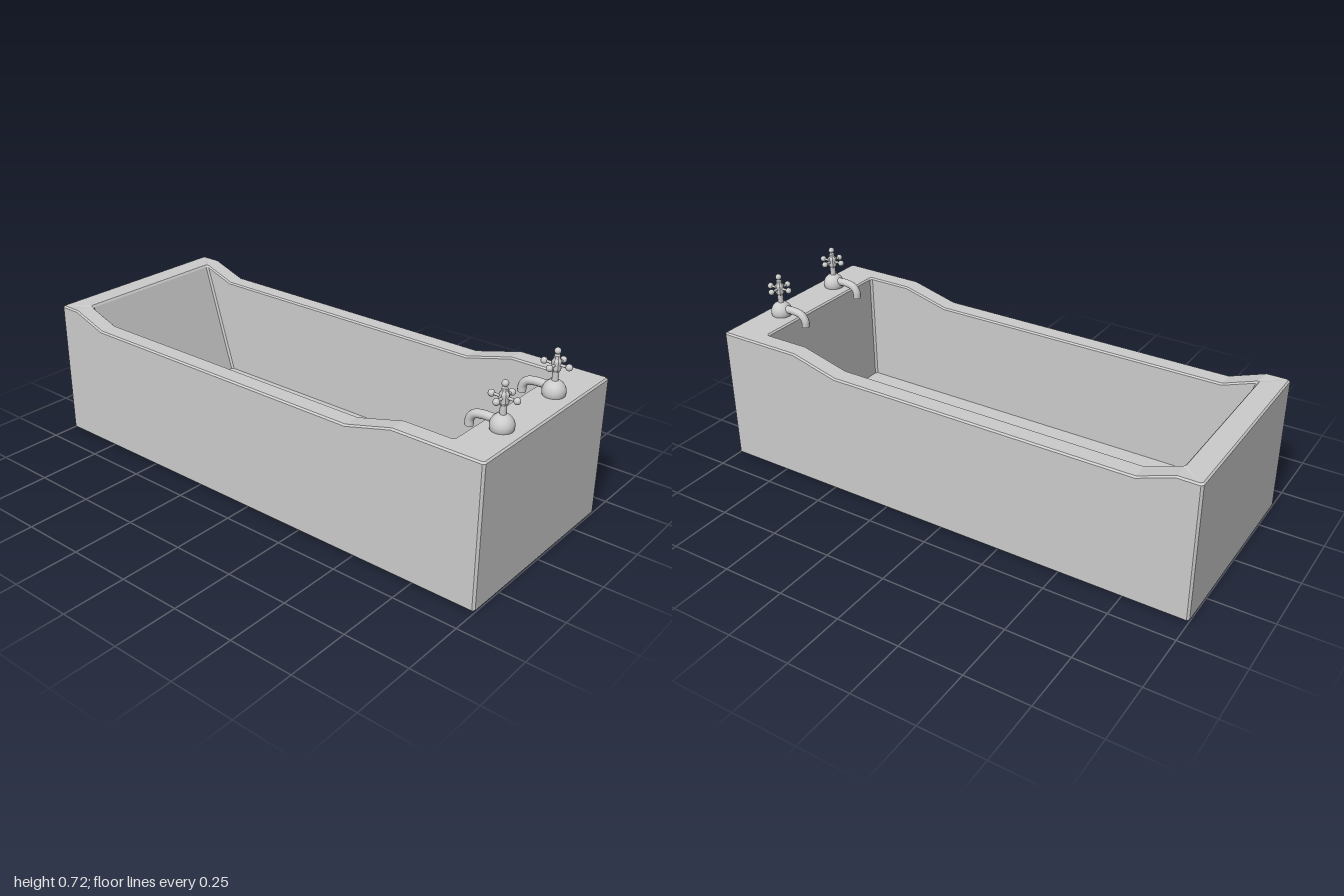
import * as THREE from 'three';

const grey = new THREE.MeshStandardMaterial({ color: 0xcccccc });
grey.name = 'light grey';

// Rim height along the tub: raised at both ends, dipped between
const RIM = [[-1, 0.55], [-0.91, 0.55], [-0.77, 0.5], [0.46, 0.5], [0.65, 0.55], [1, 0.55]];
function rimHeight(x) {
  for (let i = 1; i < RIM.length; i++) {
    const [xa, ya] = RIM[i - 1], [xb, yb] = RIM[i];
    if (x <= xb) return ya + (yb - ya) * (x - xa) / (xb - xa);
  }
  return 0.55;
}

// Rectangular loop with cut corners, counter-clockwise from above
function loop(x0, x1, z, cut, height) {
  const xs = RIM.map(p => THREE.MathUtils.clamp(p[0], x0 + cut, x1 - cut));
  const at = (x, zz) => new THREE.Vector3(x, height(x), zz);
  return [
    ...xs.map(x => at(x, z)), at(x1, z - cut), at(x1, -z + cut),
    ...xs.slice().reverse().map(x => at(x, -z)), at(x0, -z + cut), at(x0, z - cut),
  ];
}

function tubGeometry() {
  const rim = drop => x => rimHeight(x) - drop;
  const flat = y => () => y;
  const loops = [
    loop(-0.993, 0.993, 0.393, 0.008, flat(0)),
    loop(-1, 1, 0.4, 0.008, flat(0.007)),
    loop(-1, 1, 0.4, 0.008, rim(0.006)),
    loop(-0.994, 0.994, 0.394, 0.008, rim(0)),
    loop(-0.91, 0.845, 0.33, 0.008, rim(0)),
    loop(-0.904, 0.839, 0.324, 0.008, rim(0.006)),
    loop(-0.768, 0.839, 0.324, 0.008, flat(0.09)),
  ];
  const pos = [];
  const tri = (a, b, c) => {
    const area = b.clone().sub(a).cross(c.clone().sub(a)).length();
    if (area > 1e-9) for (const p of [a, b, c]) pos.push(p.x, p.y, p.z);
  };
  // Walls: outside, over the rim and down the inside
  const n = loops[0].length;
  for (let j = 0; j < loops.length - 1; j++) {
    for (let i = 0; i < n; i++) {
      const k = (i + 1) % n, lo = loops[j], up = loops[j + 1];
      tri(lo[i], lo[k], up[k]);
      tri(lo[i], up[k], up[i]);
    }
  }
  // Underside and basin floor
  const base = loops[0], floor = loops[loops.length - 1];
  for (let i = 1; i < n - 1; i++) {
    tri(base[0], base[i + 1], base[i]);
    tri(floor[0], floor[i], floor[i + 1]);
  }
  const g = new THREE.BufferGeometry();
  g.setAttribute('position', new THREE.Float32BufferAttribute(pos, 3));
  g.computeVertexNormals();
  return g;
}

function part(name, geometry, x = 0, y = 0, z = 0) {
  const m = new THREE.Mesh(geometry, grey);
  m.name = name;
  m.position.set(x, y, z);
  return m;
}

// One tap, with its origin on the rim
function createTap(name) {
  const tap = new THREE.Group();
  tap.name = name;
  tap.add(part('tapDome', new THREE.SphereGeometry(0.042, 28, 18), 0, 0.014, 0));
  tap.add(part('tapStem', new THREE.CylinderGeometry(0.0115, 0.0115, 0.045, 20), 0, 0.07, 0));

  // Faceted hub of the handle
  const profile = [[0, 0.085], [0.012, 0.085], [0.018, 0.096], [0.018, 0.126],
    [0.012, 0.134], [0.011, 0.145], [0.006, 0.15], [0, 0.15]];
  const hub = new THREE.LatheGeometry(profile.map(p => new THREE.Vector2(...p)), 8).toNonIndexed();
  hub.computeVertexNormals();
  tap.add(part('handleHub', hub));

  // Cross handle with ball ends
  const ball = new THREE.SphereGeometry(0.012, 18, 12);
  const arm = new THREE.CylinderGeometry(0.005, 0.005, 0.094, 12);
  const armX = part('handleArm', arm, 0, 0.113, 0);
  armX.rotation.z = Math.PI / 2;
  const armZ = part('handleArm', arm, 0, 0.113, 0);
  armZ.rotation.x = Math.PI / 2;
  tap.add(armX, armZ, part('topBall', ball, 0, 0.161, 0));
  for (const s of [-1, 1]) {
    tap.add(part('handleBall', ball, s * 0.047, 0.113, 0));
    tap.add(part('handleBall', ball, 0, 0.113, s * 0.047));
  }

  // Spout hooking down over the basin
  const path = new THREE.CatmullRomCurve3(
    [[-0.02, 0.028], [-0.075, 0.028], [-0.105, 0.02], [-0.12, 0], [-0.122, -0.025]]
      .map(([x, y]) => new THREE.Vector3(x, y, 0)));
  tap.add(part('spout', new THREE.TubeGeometry(path, 24, 0.0155, 16)));
  const tip = part('spoutEnd', new THREE.CircleGeometry(0.0155, 16), -0.122, -0.025, 0);
  tip.rotation.x = Math.PI / 2;
  tap.add(tip);
  return tap;
}

export function createModel() {
  const model = new THREE.Group();
  model.name = 'bathtub';
  model.add(part('tub', tubGeometry()));
  for (const [name, z] of [['frontTap', 0.175], ['backTap', -0.153]]) {
    const tap = createTap(name);
    tap.position.set(0.92, 0.55, z);
    model.add(tap);
  }
  return model;
}
